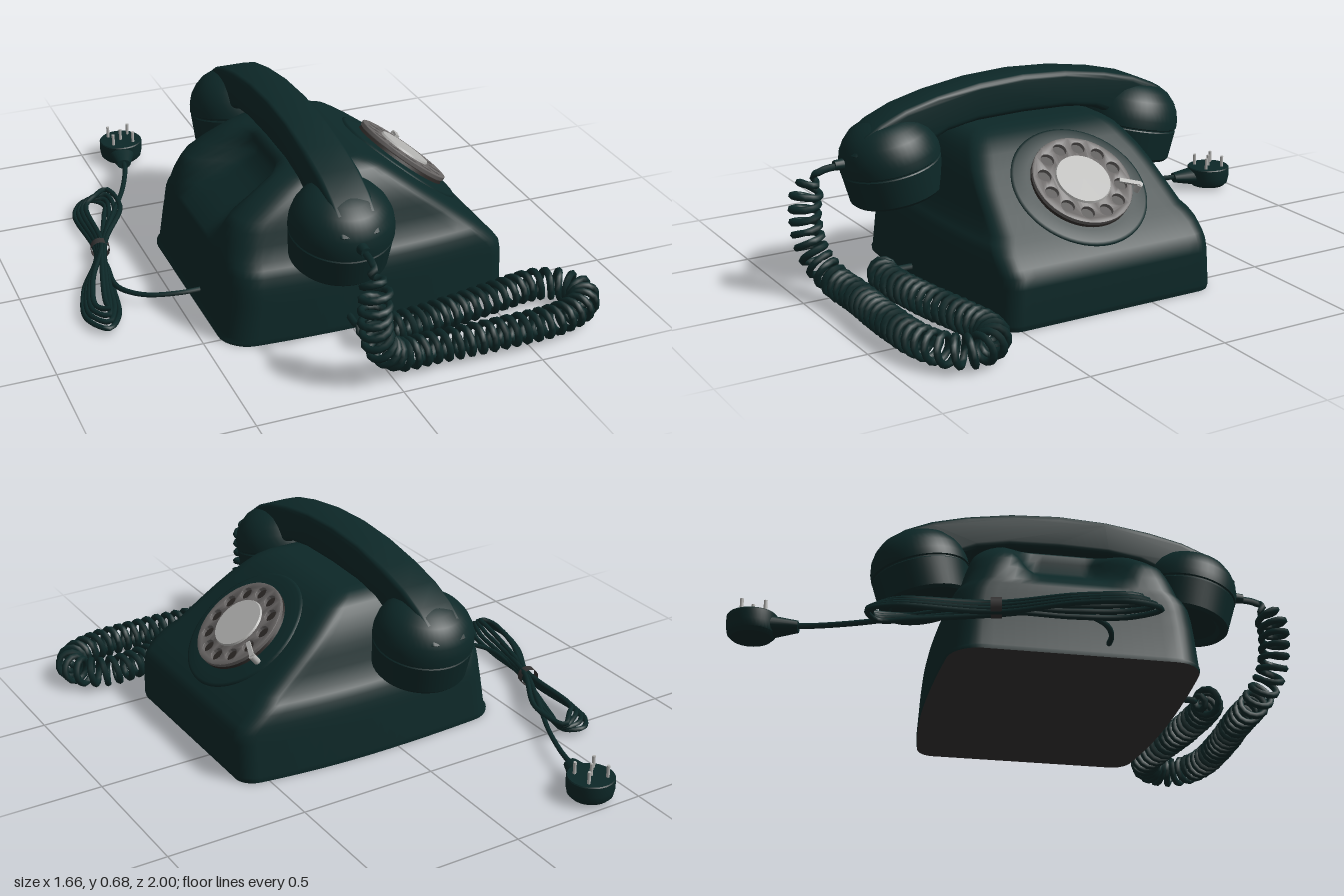
import * as THREE from 'three';
import { toCreasedNormals } from 'three/addons/utils/BufferGeometryUtils.js';

const mat = (name, color, side = THREE.FrontSide) => {
  const m = new THREE.MeshStandardMaterial({ color, side });
  m.name = name;
  return m;
};
const V = (x, y, z) => new THREE.Vector3(x, y, z);
const clamp = THREE.MathUtils.clamp;
const CZ = 0.15; // middle of the body along z

// Horizontal slices of the housing: y, back x, front x, half width, corner radius
const SLICES = [
  [0, -0.44, 0.592, 0.445, 0.1], [0.012, -0.44, 0.595, 0.447, 0.1], [0.02, -0.43, 0.597, 0.446, 0.1],
  [0.14, -0.415, 0.597, 0.437, 0.1], [0.175, -0.41, 0.591, 0.433, 0.1], [0.2, -0.408, 0.572, 0.43, 0.1],
  [0.235, -0.405, 0.534, 0.422, 0.1], [0.26, -0.402, 0.503, 0.408, 0.1], [0.28, -0.4, 0.478, 0.388, 0.1],
  [0.33, -0.388, 0.414, 0.37, 0.1], [0.37, -0.37, 0.363, 0.357, 0.1], [0.4, -0.35, 0.324, 0.347, 0.1],
  [0.44, -0.295, 0.273, 0.33, 0.1], [0.48, -0.235, 0.22, 0.305, 0.1], [0.505, -0.185, 0.184, 0.285, 0.09],
  [0.523, -0.13, 0.145, 0.26, 0.08], [0.532, -0.08, 0.11, 0.23, 0.06], [0.535, -0.04, 0.08, 0.2, 0.05],
];

// One rounded slice outline, with the carrying hollow pressed into the upper back
function sliceRing([y, xb, xf, w, r]) {
  const ring = [], C = 7, E = 18;
  const corners = [[1, 1], [1, -1], [-1, -1], [-1, 1]];
  corners.forEach(([sx, sz], k) => {
    const rad = sx > 0 ? r * 0.6 : r;
    const cx = sx > 0 ? xf - rad : xb + rad, cz = sz * (w - rad);
    for (let i = 0; i <= C; i++) {
      const a = (k + i / C) * Math.PI / 2;
      ring.push([cx + rad * Math.sin(a), cz + rad * Math.cos(a)]);
    }
    const [nx, nz] = corners[(k + 1) % 4];
    const nr = nx > 0 ? r * 0.6 : r, a = (k + 1) * Math.PI / 2;
    const ex = (nx > 0 ? xf - nr : xb + nr) + nr * Math.sin(a);
    const ez = nz * (w - nr) + nr * Math.cos(a);
    const [bx, bz] = ring[ring.length - 1];
    for (let i = 1; i < E; i++) ring.push([bx + (ex - bx) * i / E, bz + (ez - bz) * i / E]);
  });
  const depth = 0.15 * THREE.MathUtils.smoothstep(y, 0.27, 0.41) * (1 - THREE.MathUtils.smoothstep(y, 0.44, 0.535));
  return ring.map(([x, z]) => {
    const hollow = depth * clamp(1 - (x - xb) / 0.08, 0, 1) * (1 - THREE.MathUtils.smoothstep(Math.abs(z), 0.1, 0.23));
    const t = x > 0.08 ? 0.1 * ((x - 0.08) / 0.5) ** 2 : 0.05 * ((x - 0.08) / 0.5) ** 2;
    return V(x + hollow, y, z * (1 - t));
  });
}

function geometryFrom(points, index) {
  const g = new THREE.BufferGeometry().setFromPoints(points);
  g.setIndex(index);
  g.computeVertexNormals();
  return g;
}

function housingGeometry() {
  const rings = SLICES.map(sliceRing), n = rings[0].length, index = [];
  const points = rings.flat();
  for (let j = 0; j < rings.length - 1; j++) for (let i = 0; i < n; i++) {
    const a = j * n + i, b = j * n + (i + 1) % n;
    index.push(a, b, b + n, a, b + n, a + n);
  }
  const top = (rings.length - 1) * n;
  points.push(V(0.02, 0.536, 0));
  for (let i = 0; i < n; i++) index.push(points.length - 1, top + i, top + (i + 1) % n);
  return geometryFrom(points, index);
}

function basePlateGeometry() {
  const ring = sliceRing(SLICES[0]), n = ring.length, index = [];
  for (let i = 0; i < n; i++) index.push(n, (i + 1) % n, i);
  return geometryFrom([...ring, V(0.08, 0, 0)], index);
}

// Arched grip, drawn in (z, y) and extruded across x
function gripGeometry() {
  const s = new THREE.Shape();
  const b = 0.022;
  const upper = [[0.62, 0.5], [0.59, 0.54], [0.54, 0.575], [0.45, 0.613], [0.33, 0.643], [0.17, 0.668], [0, 0.677]];
  const lower = [[0, 0.54], [0.18, 0.535], [0.3, 0.515], [0.38, 0.48], [0.44, 0.42], [0.56, 0.4]];
  const half = [...lower.map(([d, y]) => [d, y + b]), ...upper.map(([d, y]) => [d, y - b]).slice(0, -1)];
  const pts = [...half, [0, 0.677 - b], ...half.slice(1).reverse().map(([d, y]) => [-d, y])];
  s.setFromPoints(pts.map(([d, y]) => new THREE.Vector2(d, y)));
  const g = new THREE.ExtrudeGeometry(s, { depth: 0.106, bevelSize: b, bevelThickness: b, bevelSegments: 5 });
  g.translate(0, 0, -0.053);
  g.rotateY(-Math.PI / 2);
  return toCreasedNormals(g, 0.7);
}

export function createModel() {
  const model = new THREE.Group();
  const green = mat('darkGreen', 0x0d2828), greenOpen = mat('darkGreenCord', 0x0d2828, THREE.DoubleSide);
  const black = mat('darkGrey', 0x353333), wheelGrey = mat('wheelGrey', 0x696665);
  const silver = mat('silver', 0xb4b4b2), holeDark = mat('holeBrown', 0x2c2826);
  const add = (name, geo, material, parent = model, pos = [0, 0, 0]) => {
    const m = new THREE.Mesh(geo, material);
    m.name = name;
    m.position.set(...pos);
    parent.add(m);
    return m;
  };

  // Housing
  add('housing', housingGeometry(), green, model, [0, 0, CZ]);
  add('basePlate', basePlateGeometry(), black, model, [0, 0, CZ]);

  // Dial, built flat and tilted onto the sloping front
  const dial = new THREE.Group();
  dial.name = 'dial';
  dial.position.set(0.362, 0.366, 0.145);
  dial.rotation.z = -0.655;
  model.add(dial);
  const collar = [[0.245, -0.02], [0.242, 0.004], [0.232, 0.009], [0.19, 0.012], [0, 0.012]];
  add('dialCollar', new THREE.LatheGeometry(collar.map(p => new THREE.Vector2(...p)), 64), green, dial);
  add('numberPlate', new THREE.CylinderGeometry(0.172, 0.176, 0.012, 64), holeDark, dial, [0, 0.016, 0]);
  const wheel = new THREE.Shape().absarc(0, 0, 0.174, 0, Math.PI * 2);
  for (let i = 0; i < 12; i++) {
    const a = i * Math.PI / 6 + 0.2;
    wheel.holes.push(new THREE.Path().absarc(0.135 * Math.cos(a), 0.135 * Math.sin(a), 0.026, 0, Math.PI * 2, true));
  }
  const wheelGeo = new THREE.ExtrudeGeometry(wheel, {
    depth: 0.01, bevelSize: 0.003, bevelThickness: 0.003, bevelSegments: 2, curveSegments: 24 });
  add('fingerWheel', toCreasedNormals(wheelGeo.rotateX(-Math.PI / 2), 0.6), wheelGrey, dial, [0, 0.027, 0]);
  add('dialCentre', new THREE.CylinderGeometry(0.095, 0.099, 0.008, 48), silver, dial, [0, 0.043, 0]);
  const stop = add('fingerStop', new THREE.BoxGeometry(0.016, 0.008, 0.075), silver, dial, [0.048, 0.047, -0.16]);
  stop.rotation.y = -0.4;
  add('fingerStopPost', new THREE.CylinderGeometry(0.012, 0.012, 0.045, 12), silver, dial, [0.062, 0.025, -0.192]);

  // Handset: grip and two tilted cups
  const handset = new THREE.Group();
  handset.name = 'handset';
  handset.position.set(-0.067, 0, 0.148);
  model.add(handset);
  add('grip', gripGeometry(), green, handset);
  const cup = [[0, 0.012], [0.12, 0.012], [0.135, 0], [0.155, 0], [0.164, 0.01], [0.173, 0.11], [0.17, 0.114], [0.17, 0.118],
    [0.175, 0.122], [0.174, 0.15], [0.165, 0.185], [0.148, 0.215], [0.122, 0.243], [0.085, 0.263], [0.04, 0.273], [0, 0.275]];
  const cupGeo = toCreasedNormals(new THREE.LatheGeometry(cup.map(p => new THREE.Vector2(...p)), 48), 0.6);
  for (const [name, s] of [['mouthpiece', 1], ['earpiece', -1]]) {
    add(name, cupGeo, green, handset, [0, 0.308, s * 0.462]).rotation.x = s * 0.2;
  }

  // Coiled cord: a helix wound around a guide path
  const guide = new THREE.CatmullRomCurve3([
    V(-0.07, 0.435, 0.8), V(-0.07, 0.42, 0.9), V(-0.08, 0.35, 0.94), V(-0.08, 0.24, 0.945), V(-0.05, 0.14, 0.93),
    V(0.03, 0.075, 0.9), V(0.15, 0.062, 0.885), V(0.4, 0.062, 0.89), V(0.62, 0.062, 0.88), V(0.74, 0.062, 0.83),
    V(0.775, 0.062, 0.76), V(0.74, 0.062, 0.69), V(0.65, 0.062, 0.655), V(0.5, 0.062, 0.675), V(0.3, 0.062, 0.71),
    V(0.12, 0.062, 0.73), V(0.03, 0.062, 0.72), V(-0.01, 0.05, 0.66), V(-0.01, 0.05, 0.57)]);
  const turns = 56, steps = turns * 12;
  const frames = guide.computeFrenetFrames(steps);
  const coil = [];
  for (let i = 0; i <= steps; i++) {
    const t = i / steps, a = t * turns * Math.PI * 2;
    const r = 0.046 * clamp((t - 0.045) / 0.03, 0, 1) * clamp((0.965 - t) / 0.03, 0, 1);
    coil.push(guide.getPointAt(t)
      .addScaledVector(frames.normals[i], r * Math.cos(a)).addScaledVector(frames.binormals[i], r * Math.sin(a)));
  }
  add('coiledCord', new THREE.TubeGeometry(new THREE.CatmullRomCurve3(coil), steps, 0.0125, 6), greenOpen);
  const relief = add('cordRelief', new THREE.CylinderGeometry(0.017, 0.022, 0.06, 16), green, model, [-0.07, 0.437, 0.81]);
  relief.rotation.x = Math.PI / 2;

  // Mains cord: leaves the back, is looped into a tied bundle, then runs to the plug
  const path = [V(-0.4, 0.055, 0.25), V(-0.5, 0.05, 0.24), V(-0.61, 0.04, 0.19), V(-0.675, 0.035, 0.1), V(-0.67, 0.035, -0.04)];
  for (let k = 0; k < 4; k++) {
    const o = k * 0.012, y = 0.02 + k * 0.014;
    path.push(V(-0.655 + o * 0.4, y, -0.17), V(-0.575 + o * 1.8, y, -0.42), V(-0.545 + o * 0.6, y, -0.53 - o),
      V(-0.6 + o * 0.5, y + 0.006, -0.57 + o * 1.5), V(-0.665 + o, y, -0.5 + o), V(-0.675 + o * 0.6, y, -0.17),
      V(-0.79 + o, y, 0.07), V(-0.825 + o, y, 0.24), V(-0.775 + o * 0.4, y + 0.006, 0.335 - o * 1.5),
      V(-0.715 - o, y, 0.25 - o), V(-0.685 - o, y, 0.08));
  }
  path.push(V(-0.65, 0.06, -0.17), V(-0.56, 0.055, -0.36), V(-0.46, 0.05, -0.56), V(-0.4, 0.05, -0.72), V(-0.385, 0.05, -0.79));
  add('mainsCord', new THREE.TubeGeometry(new THREE.CatmullRomCurve3(path), 420, 0.0095, 6), greenOpen);
  const tie = add('cordTie', new THREE.CylinderGeometry(0.034, 0.034, 0.035, 16, 1, true),
    mat('tieGrey', 0x353333, THREE.DoubleSide), model, [-0.66, 0.042, -0.17]);
  tie.rotation.set(Math.PI / 2, 0, 0.2);

  // Plug with upward pins
  const plug = new THREE.Group();
  plug.name = 'plug';
  plug.position.set(-0.358, 0, -0.917);
  model.add(plug);
  const body = [[0, 0.008], [0.066, 0.008], [0.078, 0.02], [0.083, 0.045], [0.083, 0.08], [0.08, 0.084], [0, 0.084]];
  add('plugBody', toCreasedNormals(new THREE.LatheGeometry(body.map(p => new THREE.Vector2(...p)), 40), 0.6), green, plug);
  const neck = add('plugNeck', new THREE.CylinderGeometry(0.026, 0.052, 0.1, 20), green, plug, [-0.022, 0.047, 0.098]);
  neck.rotation.set(Math.PI / 2, 0, 0.2);
  neck.scale.z = 0.72;
  for (const [x, z] of [[0, 0], [0.04, 0.038], [-0.04, 0.038], [0.04, -0.038], [-0.04, -0.038]]) {
    add('plugPin', new THREE.CylinderGeometry(0.006, 0.006, 0.045, 12), silver, plug, [x, 0.105, z]);
  }
  return model;
}
